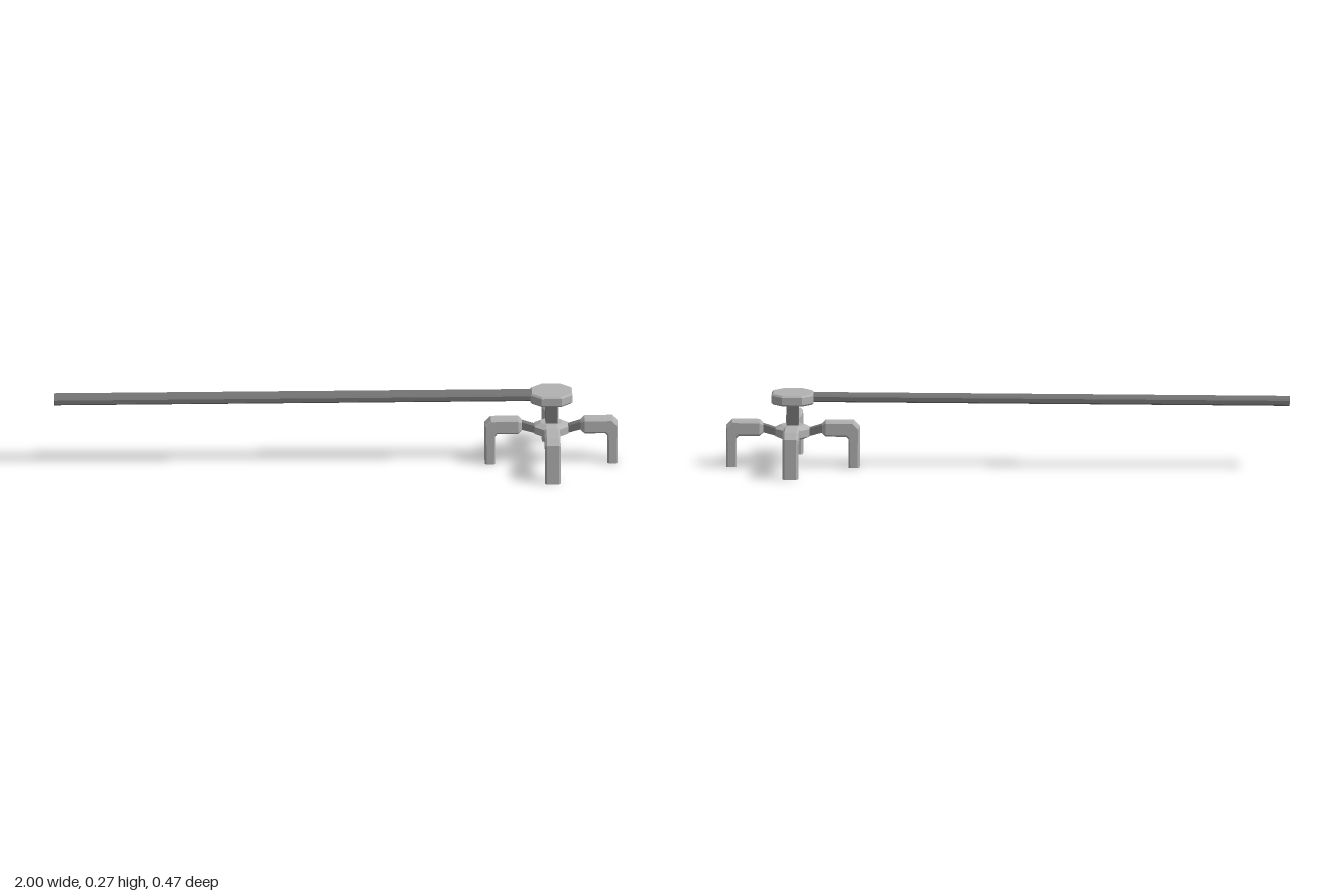
import * as THREE from 'three';

// Closed, flat-faced solid through matching rings of [x, y, z] points
function loft(rings) {
  const n = rings[0].length, pos = [];
  const tri = (a, b, c) => pos.push(...a, ...b, ...c);
  for (let i = 0; i < rings.length - 1; i++) {
    const p = rings[i], q = rings[i + 1];
    for (let j = 0; j < n; j++) {
      const k = (j + 1) % n;
      tri(p[j], p[k], q[k]);
      tri(p[j], q[k], q[j]);
    }
  }
  const first = rings[0], last = rings[rings.length - 1];
  for (let j = 1; j < n - 1; j++) {
    tri(first[0], first[j + 1], first[j]);
    tri(last[0], last[j], last[j + 1]);
  }
  // Turn the faces outward if the rings run the other way
  let volume = 0;
  const a = new THREE.Vector3(), b = new THREE.Vector3(), c = new THREE.Vector3();
  for (let i = 0; i < pos.length; i += 9) {
    volume += a.fromArray(pos, i).dot(b.fromArray(pos, i + 3).cross(c.fromArray(pos, i + 6)));
  }
  if (volume < 0) {
    for (let i = 0; i < pos.length; i += 9) {
      for (let k = 0; k < 3; k++) {
        [pos[i + 3 + k], pos[i + 6 + k]] = [pos[i + 6 + k], pos[i + 3 + k]];
      }
    }
  }
  const geo = new THREE.BufferGeometry();
  geo.setAttribute('position', new THREE.Float32BufferAttribute(pos, 3));
  geo.computeVertexNormals();
  return geo;
}

// Rectangle with cut corners, as [u, v] points
const octagon = (u, v, cu, cv = cu) => [
  [u, -v + cv], [u, v - cv], [u - cu, v], [-u + cu, v],
  [-u, v - cv], [-u, -v + cv], [-u + cu, -v], [u - cu, -v],
];

// Flat octagonal disc from [y, half width, corner cut] levels
const disc = (levels) => loft(levels.map(([y, r, cut]) =>
  octagon(r, r, cut).map(([x, z]) => [x, y, z])));

// Bent bar: each station gives inner point, outer point, half width and bevel
const bentBar = (stations) => loft(stations.map(([xi, yi, xo, yo, w, bevel]) => {
  const half = Math.hypot(xo - xi, yo - yi) / 2;
  return octagon(half, w, bevel).map(([u, z]) => {
    const t = (u / half + 1) / 2;
    return [xi + (xo - xi) * t, yi + (yo - yi) * t, z];
  });
}));

export function createModel() {
  const lightGrey = new THREE.MeshStandardMaterial({ color: 0xb2b2b2 });
  lightGrey.name = 'lightGrey';
  const darkGrey = new THREE.MeshStandardMaterial({ color: 0x747474 });
  darkGrey.name = 'darkGrey';

  const model = new THREE.Group();
  model.name = 'bladeOnFourLegs';
  const add = (parent, name, geo, mat) => {
    const mesh = new THREE.Mesh(geo, mat);
    mesh.name = name;
    parent.add(mesh);
    return mesh;
  };

  // Long bevelled bar
  add(model, 'longBar', loft([-1, 0.72].map((x) =>
    octagon(0.034, 0.012, 0.005).map(([z, y]) => [x, 0.251 + y, z]))), darkGrey);

  // Stand: cap, post and hub
  const stand = new THREE.Group();
  stand.name = 'stand';
  stand.position.x = 0.763;
  model.add(stand);
  add(stand, 'cap', disc([
    [0.230, 0.069, 0.036], [0.236, 0.074, 0.038],
    [0.262, 0.074, 0.038], [0.268, 0.069, 0.036],
  ]), lightGrey);
  add(stand, 'post', new THREE.BoxGeometry(0.042, 0.1, 0.042), darkGrey).position.y = 0.19;
  add(stand, 'hub', disc([
    [0.102, 0.038, 0.022], [0.113, 0.06, 0.035],
    [0.139, 0.06, 0.035], [0.151, 0.038, 0.022],
  ]), lightGrey);

  // Four bent legs joined to the hub by slanting arms
  const legGeo = bentBar([
    [0.198, 0, 0.237, 0, 0.028, 0.007],
    [0.198, 0.103, 0.237, 0.145, 0.028, 0.007],
    [0.190, 0.112, 0.216, 0.166, 0.028, 0.007],
    [0.117, 0.112, 0.117, 0.166, 0.028, 0.007],
    [0.104, 0.123, 0.104, 0.155, 0.018, 0.004],
  ]);
  const armGeo = loft([[0.05, 0.110, 0.136], [0.108, 0.126, 0.154]].map(([x, y0, y1]) =>
    [[x, y0, -0.015], [x, y0, 0.015], [x, y1, 0.015], [x, y1, -0.015]]));
  ['left', 'back', 'right', 'front'].forEach((side, i) => {
    const limb = new THREE.Group();
    limb.name = side + 'Limb';
    limb.rotation.y = i * Math.PI / 2;
    add(limb, side + 'Leg', legGeo, lightGrey);
    add(limb, side + 'Arm', armGeo, darkGrey);
    stand.add(limb);
  });

  return model;
}
